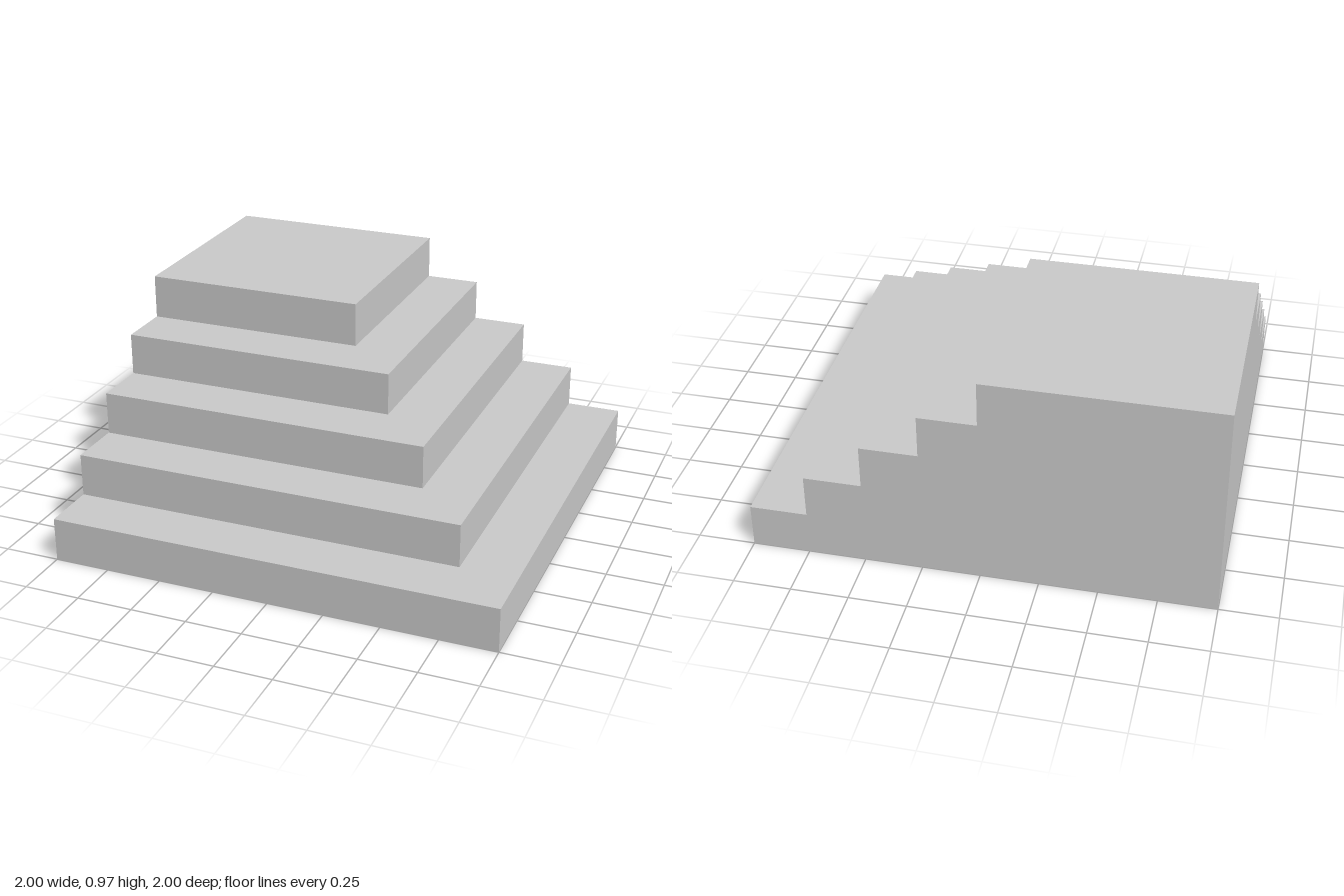
import * as THREE from 'three';

// Flat-faced geometry from quads, corners counter-clockwise seen from outside
function quadGeometry(quads) {
  const pos = [];
  for (const [a, b, c, d] of quads) pos.push(...a, ...b, ...c, ...a, ...c, ...d);
  const geo = new THREE.BufferGeometry();
  geo.setAttribute('position', new THREE.Float32BufferAttribute(pos, 3));
  geo.computeVertexNormals();
  return geo;
}

// Horizontal upward-facing rectangle
const tread = (x0, x1, z0, z1, y) => [[x0, y, z1], [x1, y, z1], [x1, y, z0], [x0, y, z0]];

export function createModel() {
  const group = new THREE.Group();
  group.name = 'cornerStairs';
  const material = new THREE.MeshStandardMaterial({ color: 0xcccccc, flatShading: true });
  const add = (name, quads) => {
    const mesh = new THREE.Mesh(quadGeometry(quads), material);
    mesh.name = name;
    group.add(mesh);
  };

  const heights = [0, 0.197, 0.39, 0.583, 0.772, 0.97]; // level of each tread
  const edges = [1, 0.75, 0.5, 0.25, 0];                // outer edge of each step in x and z

  // Square steps sharing the back corner at x = -1, z = -1
  edges.forEach((s, i) => {
    const y0 = heights[i], y1 = heights[i + 1];
    const quads = [
      [[-1, y0, s], [s, y0, s], [s, y1, s], [-1, y1, s]],       // front riser
      [[s, y0, s], [s, y0, -1], [s, y1, -1], [s, y1, s]],       // side riser
      [[s, y0, -1], [-1, y0, -1], [-1, y1, -1], [s, y1, -1]],   // back wall
      [[-1, y0, -1], [-1, y0, s], [-1, y1, s], [-1, y1, -1]],   // flat side wall
    ];
    if (i < edges.length - 1) {
      const next = edges[i + 1];
      quads.push(tread(-1, s, next, s, y1), tread(next, s, -1, next, y1));
      add(`step${i + 1}`, quads);
    } else {
      quads.push(tread(-1, s, -1, s, y1));
      add('topPlatform', quads);
    }
  });

  // Underside
  add('base', [[[-1, 0, -1], [1, 0, -1], [1, 0, 1], [-1, 0, 1]]]);

  return group;
}
